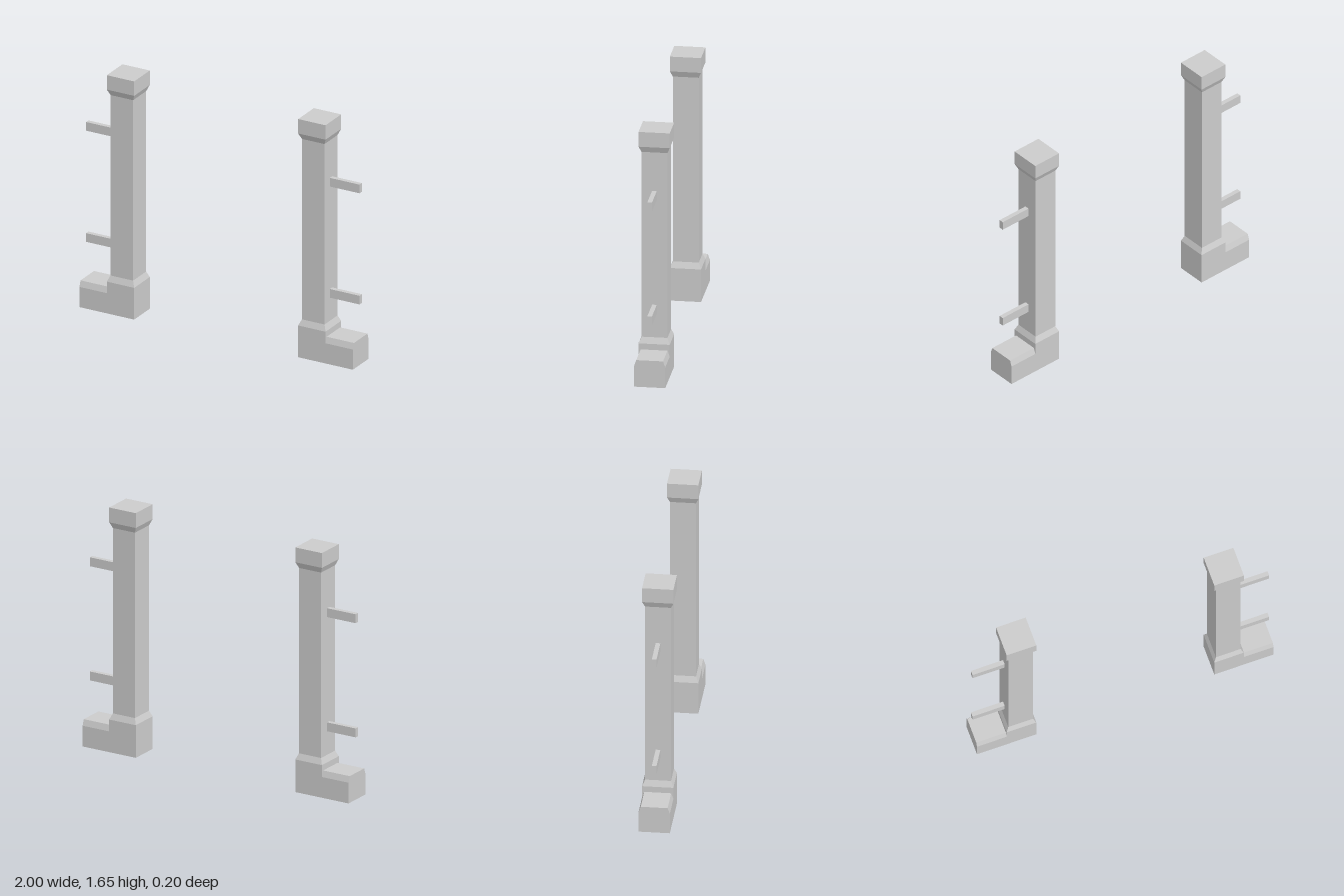
import * as THREE from 'three';

const material = new THREE.MeshStandardMaterial({ color: 0xcccccc, flatShading: true });

function addMesh(parent, name, geometry, x = 0, y = 0) {
  const mesh = new THREE.Mesh(geometry, material);
  mesh.name = name;
  mesh.position.set(x, y, 0);
  parent.add(mesh);
}

// Square post with a wide plinth and cap, as a four-sided lathe
function postGeometry() {
  const profile = [
    [0, 0], [0.1, 0], [0.1, 0.22], [0.083, 0.26],
    [0.083, 1.51], [0.1, 1.55], [0.1, 1.65], [0, 1.65],
  ].map(([half, y]) => new THREE.Vector2(half * Math.SQRT2, y));
  return new THREE.LatheGeometry(profile, 4, Math.PI / 4);
}

// Low wall stub with bevelled top edges, running along x
function wallGeometry() {
  const section = new THREE.Shape([
    [-0.1, 0], [0.1, 0], [0.1, 0.14], [0.086, 0.18], [-0.086, 0.18], [-0.1, 0.14],
  ].map(([z, y]) => new THREE.Vector2(z, y)));
  return new THREE.ExtrudeGeometry(section, { depth: 0.2, bevelEnabled: false }).rotateY(Math.PI / 2);
}

// One gate side: post, wall stub and two rails, pointing to +x
function createSide(name) {
  const side = new THREE.Group();
  side.name = name;
  addMesh(side, 'post', postGeometry(), 0.7);
  addMesh(side, 'lowWall', wallGeometry(), 0.8);
  const rail = new THREE.BoxGeometry(0.22, 0.06, 0.03);
  addMesh(side, 'lowerRail', rail, 0.89, 0.45);
  addMesh(side, 'upperRail', rail, 0.89, 1.22);
  return side;
}

export function createModel() {
  const model = new THREE.Group();
  model.name = 'gateway';
  const left = createSide('leftSide');
  const right = createSide('rightSide');
  right.rotation.y = Math.PI;
  model.add(left, right);
  return model;
}
